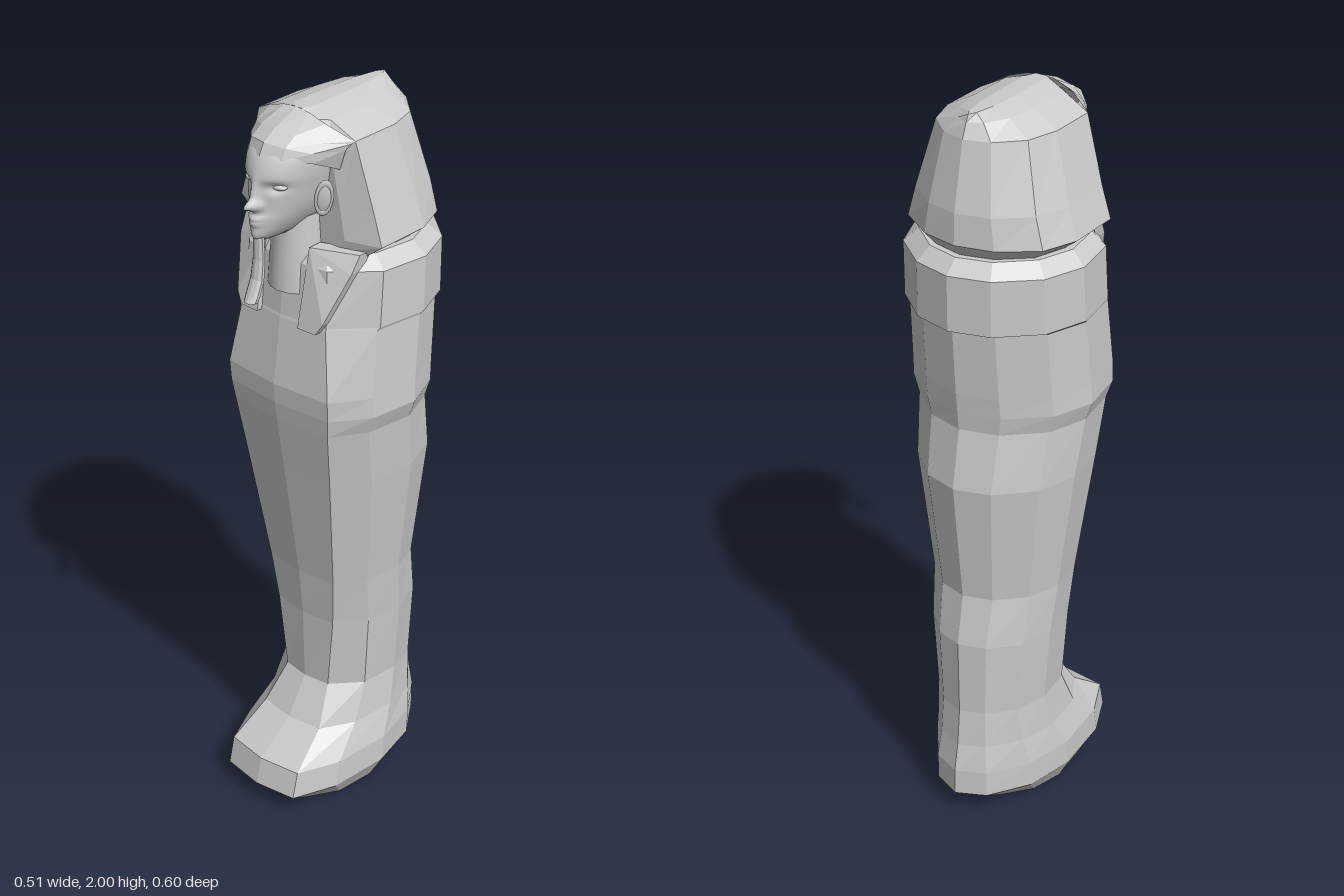
import * as THREE from 'three';
import { mergeVertices } from 'three/addons/utils/BufferGeometryUtils.js';
import { ConvexGeometry } from 'three/addons/geometries/ConvexGeometry.js';

const V = (x, y, z) => new THREE.Vector3(x, y, z);
const flat = new THREE.MeshStandardMaterial({ color: 0xcccccc, flatShading: true, side: THREE.DoubleSide });
const smooth = new THREE.MeshStandardMaterial({ color: 0xcccccc, side: THREE.DoubleSide });

// Surface through rows of points (bottom to top); closed rows get end caps
function loft(rows, closed) {
  const pos = [];
  const tri = (...pts) => pts.forEach(p => pos.push(p.x, p.y, p.z));
  const n = rows[0].length;
  for (let i = 0; i < rows.length - 1; i++) {
    for (let j = 0; j < (closed ? n : n - 1); j++) {
      const k = (j + 1) % n;
      const a = rows[i][j], b = rows[i][k], c = rows[i + 1][k], d = rows[i + 1][j];
      tri(a, b, c);
      tri(a, c, d);
    }
  }
  if (closed) {
    for (const [row, up] of [[rows[0], false], [rows[rows.length - 1], true]]) {
      const mid = row.reduce((s, p) => s.add(p), V(0, 0, 0)).divideScalar(n);
      row.forEach((p, j) => {
        const q = row[(j + 1) % n];
        up ? tri(mid, p, q) : tri(mid, q, p);
      });
    }
  }
  const g = new THREE.BufferGeometry();
  g.setAttribute('position', new THREE.Float32BufferAttribute(pos, 3));
  g.computeVertexNormals();
  return g;
}

// Full mirrored ring from a right-hand half that runs front to back
function mirrorRing(half) {
  const other = half.slice(1, -1).reverse().map(p => V(-p.x, p.y, p.z));
  return [...half, ...other];
}

function smoothed(geometry) {
  geometry.deleteAttribute('normal');
  const g = mergeVertices(geometry, 1e-5);
  g.computeVertexNormals();
  return g;
}

export function createModel() {
  const group = new THREE.Group();
  const add = (name, geometry, material = flat) => {
    const m = new THREE.Mesh(geometry, material);
    m.name = name;
    group.add(m);
    return m;
  };

  // Body: height, half width, half width of the front panel, front z, back z
  const bodyRows = [
    [0, 0.15, 0.09, 0.2, -0.19], [0.065, 0.185, 0.12, 0.297, -0.298],
    [0.14, 0.185, 0.12, 0.278, -0.298], [0.22, 0.166, 0.1, 0.165, -0.282],
    [0.325, 0.156, 0.075, 0.1, -0.272], [0.54, 0.172, 0.098, 0.106, -0.275],
    [0.68, 0.182, 0.112, 0.12, -0.25], [1.02, 0.225, 0.145, 0.172, -0.287],
    [1.18, 0.238, 0.16, 0.197, -0.257], [1.23, 0.256, 0.166, 0.204, -0.262],
    [1.285, 0.254, 0.168, 0.207, -0.268], [1.465, 0.248, 0.14, 0.182, -0.28],
    [1.472, 0.252, 0.14, 0.18, -0.3], [1.62, 0.25, 0.13, 0.165, -0.3],
    [1.655, 0.212, 0.11, 0.14, -0.262],
  ];
  add('body', loft(bodyRows.map(([y, w, fw, zf, zb]) => {
    const z = t => zb + t * (zf - zb);
    return mirrorRing([V(0, y, zf), V(fw, y, z(0.97)), V(w * 0.92, y, z(0.77)), V(w, y, z(0.48)),
      V(w * 0.83, y, z(0.24)), V(w * 0.43, y, z(0.06)), V(0, y, zb)]);
  }), true));

  // Headdress: height, half width, front z, back z
  const hoodRows = [
    [1.65, 0.185, 0.1, -0.24], [1.688, 0.234, 0.1, -0.268], [1.77, 0.208, 0.1, -0.264],
    [1.945, 0.157, 0.108, -0.226], [1.982, 0.085, 0.115, -0.21], [2, 0.025, 0.115, -0.2],
  ];
  add('headdress', loft(hoodRows.map(([y, w, zf, zb]) => {
    const z = t => zb + t * (zf - zb);
    return mirrorRing([V(0, y, zf), V(w * 0.6, y, zf), V(w, y, z(0.92)), V(w, y, z(0.5)),
      V(w * 0.84, y, z(0.24)), V(w * 0.43, y, z(0.06)), V(0, y, zb)]);
  }), true));

  // Front of the headdress sloping down to the brow
  const arc = half => [...half.slice(1).reverse().map(p => V(-p.x, p.y, p.z)), ...half];
  add('browCover', loft([
    arc([V(0, 1.915, 0.246), V(0.055, 1.912, 0.226), V(0.1, 1.9, 0.17), V(0.125, 1.87, 0.1)]),
    arc([V(0, 1.945, 0.23), V(0.055, 1.94, 0.215), V(0.1, 1.925, 0.17), V(0.143, 1.925, 0.1)]),
    arc([V(0, 1.97, 0.19), V(0.055, 1.962, 0.18), V(0.105, 1.945, 0.145), V(0.152, 1.94, 0.09)]),
    arc([V(0, 2, 0.115), V(0.04, 1.996, 0.115), V(0.09, 1.98, 0.112), V(0.157, 1.945, 0.082)]),
  ], false));

  // Lappets hanging on the chest
  for (const s of [1, -1]) {
    const outline = [[0.07, 1.665, 0.15], [0.19, 1.665, 0.1], [0.185, 1.62, 0.125],
      [0.143, 1.49, 0.183], [0.125, 1.46, 0.19], [0.068, 1.46, 0.192]];
    const pts = outline.flatMap(([x, y, z]) => [V(s * x, y, z), V(s * x, y, z - 0.04)]);
    add(s > 0 ? 'leftLappet' : 'rightLappet', new ConvexGeometry(pts));
  }

  // Neck
  const neck = add('neck', new THREE.CylinderGeometry(0.06, 0.075, 0.2, 16), smooth);
  neck.position.set(0, 1.64, 0.115);

  // Face: a curved mask with nose, sockets, lips and chin raised by soft bumps
  const faceCurve = new THREE.CatmullRomCurve3([
    V(0.018, 1.698, 0.25), V(0.036, 1.713, 0.27), V(0.062, 1.75, 0.268), V(0.08, 1.79, 0.26),
    V(0.09, 1.83, 0.26), V(0.098, 1.87, 0.262), V(0.102, 1.92, 0.238), V(0.1, 1.94, 0.2),
  ]);
  const bump = (x, y, cx, cy, rx, ry) => Math.exp(-(((x - cx) / rx) ** 2) - ((y - cy) / ry) ** 2);
  const faceRows = [];
  for (let i = 0; i <= 48; i++) {
    const p = faceCurve.getPoint(i / 48);
    const row = [];
    for (let j = 0; j <= 40; j++) {
      const a = (j / 40 - 0.5) * Math.PI;
      const x = p.x * Math.sin(a), ax = Math.abs(x);
      let z = 0.1 + (p.z - 0.1) * Math.cos(a) ** 0.85;
      if (j > 0 && j < 40) {
        z += 0.036 * bump(x, p.y, 0, 1.797, 0.013, 0.014) + 0.018 * bump(x, p.y, 0, 1.825, 0.01, 0.028);
        z += 0.012 * bump(x, p.y, 0, 1.762, 0.024, 0.006) + 0.01 * bump(x, p.y, 0, 1.748, 0.02, 0.006);
        z += 0.008 * bump(ax, p.y, 0.014, 1.793, 0.008, 0.009);
        z -= 0.014 * bump(ax, p.y, 0.045, 1.843, 0.022, 0.013);
      }
      row.push(V(x, p.y, z));
    }
    faceRows.push(row);
  }
  add('face', smoothed(loft(faceRows, false)), smooth);

  // Underside of the jaw
  const jaw = faceRows[0];
  add('jaw', loft([jaw.map(p => V(p.x * 2.4, 1.705, 0.12)), jaw], false), smooth);

  // Eyes, eyebrows and ears
  for (const s of [1, -1]) {
    const side = s > 0 ? 'left' : 'right';
    const eye = add(side + 'Eye', new THREE.SphereGeometry(1, 16, 10), smooth);
    eye.scale.set(0.019, 0.008, 0.012);
    eye.position.set(s * 0.047, 1.843, 0.226);
    eye.rotation.y = s * 0.4;

    const brow = new THREE.CatmullRomCurve3([V(s * 0.02, 1.862, 0.254), V(s * 0.045, 1.87, 0.236), V(s * 0.075, 1.86, 0.2)]);
    add(side + 'Eyebrow', new THREE.TubeGeometry(brow, 10, 0.004, 6), smooth);

    const ear = new THREE.Group();
    ear.name = side + 'Ear';
    const shell = new THREE.Mesh(new THREE.SphereGeometry(1, 14, 10), smooth);
    shell.scale.set(0.008, 0.04, 0.02);
    const rim = new THREE.Mesh(new THREE.TorusGeometry(0.019, 0.005, 6, 18), smooth);
    rim.rotation.y = Math.PI / 2;
    rim.scale.y = 2.1;
    ear.add(shell, rim);
    ear.position.set(s * 0.11, 1.805, 0.14);
    ear.rotation.set(-0.12, -s * 0.75, -s * 0.2);
    group.add(ear);
  }

  // Ceremonial beard: y, half width, centre z, half depth
  const beardRows = [[1.545, 0.019, 0.283, 0.016], [1.56, 0.021, 0.275, 0.015], [1.6, 0.02, 0.259, 0.013],
    [1.65, 0.018, 0.252, 0.012], [1.71, 0.016, 0.252, 0.012]];
  add('beard', loft(beardRows.map(([y, w, z, d]) => Array.from({ length: 10 }, (_, j) => {
    const a = j / 10 * Math.PI * 2;
    return V(w * Math.sin(a), y, z + d * Math.cos(a));
  })), true));

  return group;
}
